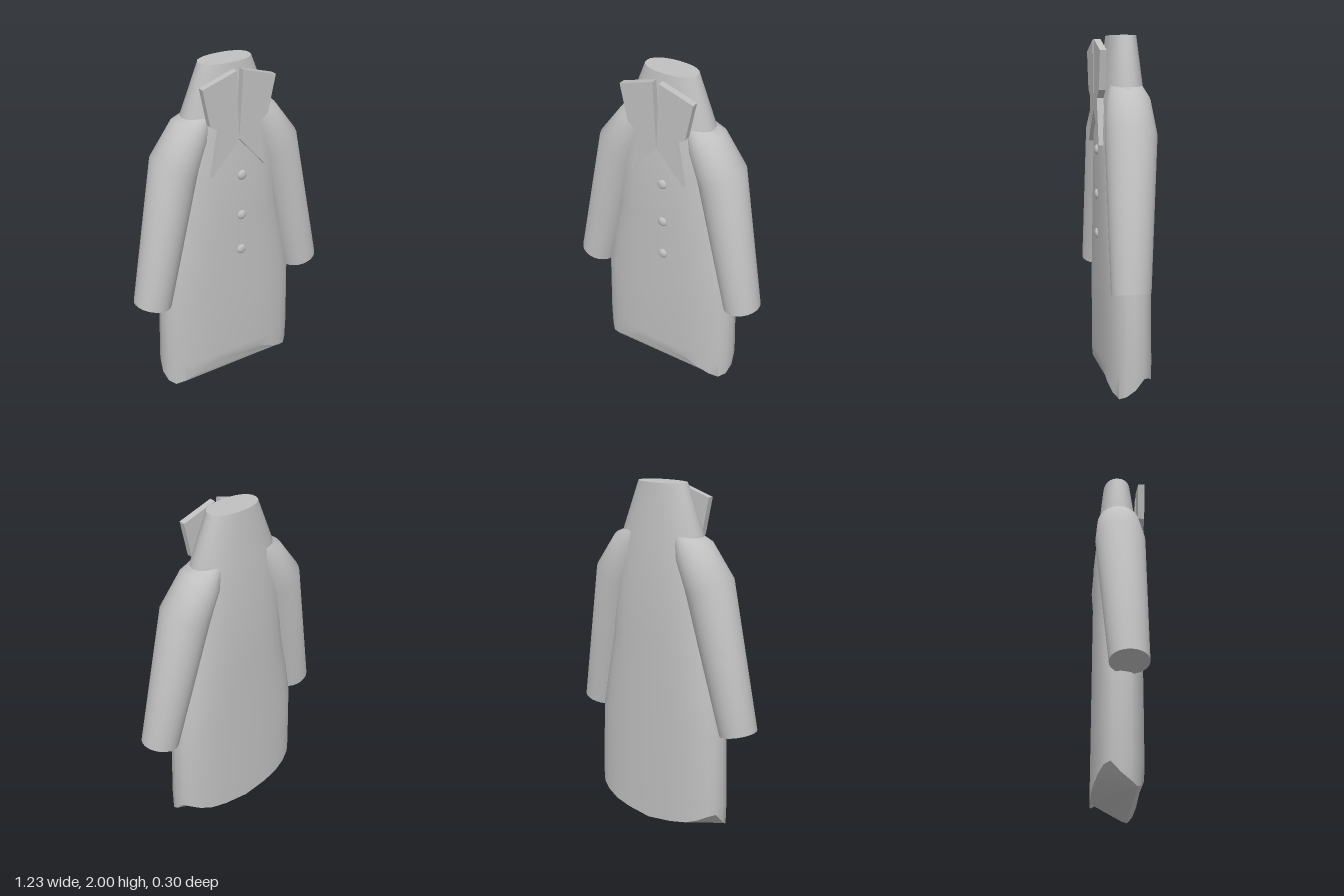
import * as THREE from 'three';
import { toCreasedNormals } from 'three/addons/utils/BufferGeometryUtils.js';

const N = 24;
const cloth = new THREE.MeshStandardMaterial({ color: 0xc0c0c0 });
cloth.name = 'grey cloth';

// Joins closed rings (bottom to top); caps are lists of ring indices for the bottom
function loft(rings, bottomCaps, crease = 0.6) {
  const index = [];
  for (let r = 0; r < rings.length - 1; r++) {
    for (let i = 0; i < N; i++) {
      const a = r * N + i, b = r * N + (i + 1) % N;
      index.push(a, a + N, b, b, a + N, b + N);
    }
  }
  for (const cap of bottomCaps) {
    for (let i = 1; i < cap.length - 1; i++) index.push(cap[0], cap[i], cap[i + 1]);
  }
  const top = (rings.length - 1) * N;
  for (let i = 1; i < N - 1; i++) index.push(top, top + i + 1, top + i);
  const g = new THREE.BufferGeometry();
  g.setAttribute('position', new THREE.Float32BufferAttribute(rings.flat(2), 3));
  g.setIndex(index);
  return toCreasedNormals(g, crease);
}

const range = (a, b) => Array.from({ length: b - a + 1 }, (_, i) => (a + i) % N);
const soft = (v, e) => Math.sign(v) * Math.abs(v) ** e;

function ring(fn) {
  return Array.from({ length: N }, (_, i) => {
    const t = (i / N) * Math.PI * 2;
    return fn(Math.cos(t), Math.sin(t), i);
  });
}

function add(group, name, geometry) {
  const mesh = new THREE.Mesh(geometry, cloth);
  mesh.name = name;
  group.add(mesh);
  return mesh;
}

// Coat body with an uneven hem
function bodyGeometry() {
  // hem height from the back centre round the side to the front centre
  const hem = [0.01, 0.03, 0.05, 0.08, 0.11, 0.12, 0.06, 0.02, 0, 0.02, 0.06, 0.115, 0.115];
  // height, half width, back z, front z
  const rows = [
    [0, 0.44, -0.15, 0.135], [0.16, 0.442, -0.15, 0.138], [0.6, 0.43, -0.148, 0.138],
    [0.85, 0.385, -0.147, 0.138], [1.1, 0.335, -0.146, 0.138], [1.45, 0.295, -0.144, 0.135],
    [1.73, 0.265, -0.118, 0.108], [2, 0.157, -0.09, 0.075],
  ];
  const rings = rows.map(([y, w, back, front], r) => ring((c, s, i) => {
    const k = (i + 6) % N;
    const e = r > 5 ? 0.9 : 0.75;
    return [w * soft(c, e), r ? y : hem[k <= 12 ? k : N - k],
      (front + back) / 2 + soft(s, e) * (front - back) / 2];
  }));
  return loft(rings, [range(2, 10), range(10, 18), range(18, 26), [2, 10, 18]]);
}

// Sleeve: each row is outer x, y, inner x, y, back z, front z
function sleeveGeometry(side) {
  const rows = [
    [0.615, 0.65, 0.4, 0.6, -0.075, 0.142],
    [0.45, 1.51, 0.2, 1.38, -0.146, 0.142],
    [0.31, 1.7, 0.13, 1.56, -0.132, 0.118],
    [0.22, 1.735, 0.1, 1.7, -0.1, 0.09],
  ];
  const rings = rows.map(([ox, oy, ix, iy, back, front]) => ring((c, s) => [
    side * (ox + ix) / 2 + c * (ox - ix) / 2,
    (oy + iy) / 2 + side * c * (oy - iy) / 2,
    (front + back) / 2 + s * (front - back) / 2,
  ]));
  return loft(rings, [range(0, N - 1)], 0.7);
}

// Pointed, notched collar plate
function collarGeometry(side) {
  const points = [[0.02, 1.98], [0.225, 1.915], [0.18, 1.7], [0.115, 1.655], [0.17, 1.395], [0, 1.59]];
  const shape = new THREE.Shape(points.map(([x, y]) => new THREE.Vector2(side * x, y)));
  return new THREE.ExtrudeGeometry(shape, { depth: 0.038, bevelEnabled: false }).translate(0, 0, 0.112);
}

export function createModel() {
  const coat = new THREE.Group();
  coat.name = 'coat';
  add(coat, 'body', bodyGeometry());

  for (const [side, label] of [[1, 'left'], [-1, 'right']]) {
    add(coat, label + 'Sleeve', sleeveGeometry(side));
    add(coat, label + 'Collar', collarGeometry(side));
  }

  // Domed buttons
  const button = new THREE.SphereGeometry(0.029, 16, 10).scale(1, 1, 0.5);
  for (const y of [1.36, 1.105, 0.877]) {
    add(coat, 'button', button).position.set(0.028, y, 0.137);
  }
  return coat;
}
